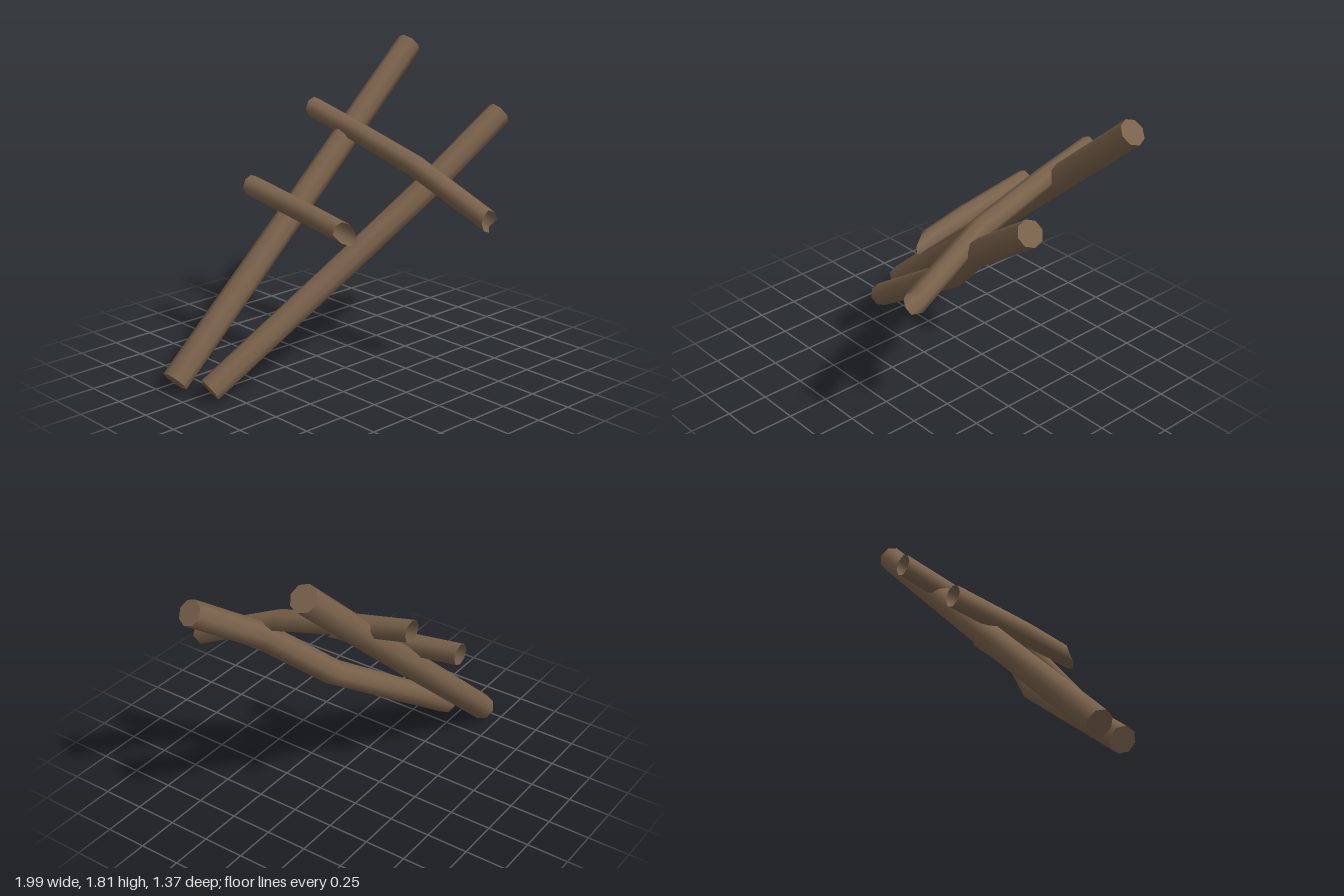
import * as THREE from 'three';

const SIDES = 8;

// Round stick through a list of points [x, y, z, radius].
// plane: fixed ring normal (optional); endShift: per-corner setback along z of the broken tip.
function stickGeometry(points, { plane = null, endShift = null, capped = true } = {}) {
  const centres = points.map(p => new THREE.Vector3(p[0], p[1], p[2]));
  const last = centres.length - 1;
  const up = new THREE.Vector3(0, 1, 0);
  const positions = [], index = [];
  const rings = centres.map((c, i) => {
    const t = plane ? plane.clone() : new THREE.Vector3();
    if (!plane) {
      if (i > 0) t.add(c.clone().sub(centres[i - 1]).normalize());
      if (i < last) t.add(centres[i + 1].clone().sub(c).normalize());
      t.normalize();
    }
    const u = up.clone().cross(t).normalize();
    const v = t.clone().cross(u);
    return Array.from({ length: SIDES }, (_, j) => {
      const a = (j / SIDES) * Math.PI * 2;
      const p = c.clone()
        .addScaledVector(u, Math.cos(a) * points[i][3])
        .addScaledVector(v, Math.sin(a) * points[i][3]);
      if (endShift && i === last) p.z += endShift[j];
      return p;
    });
  });

  // bark, sharing corners so that it shades smoothly
  rings.forEach(ring => ring.forEach(p => positions.push(p.x, p.y, p.z)));
  for (let i = 0; i < last; i++) {
    for (let j = 0; j < SIDES; j++) {
      const k = (j + 1) % SIDES;
      const a = i * SIDES + j, b = i * SIDES + k, c = a + SIDES, d = b + SIDES;
      index.push(a, b, c, b, d, c);
    }
  }

  // flat sawn ends with their own corners
  if (capped) {
    for (const i of [0, last]) {
      const base = positions.length / 3;
      rings[i].forEach(p => positions.push(p.x, p.y, p.z));
      for (let j = 1; j < SIDES - 1; j++) {
        if (i === 0) index.push(base, base + j + 1, base + j);
        else index.push(base, base + j, base + j + 1);
      }
    }
  }

  const geometry = new THREE.BufferGeometry();
  geometry.setAttribute('position', new THREE.Float32BufferAttribute(positions, 3));
  geometry.setIndex(index);
  geometry.computeVertexNormals();
  return geometry;
}

export function createModel() {
  const model = new THREE.Group();
  model.name = 'leaningBranches';
  const bark = new THREE.MeshStandardMaterial({ color: 0x7a624b, side: THREE.DoubleSide });
  bark.name = 'brown bark';

  const add = (name, points, options) => {
    const mesh = new THREE.Mesh(stickGeometry(points, options), bark);
    mesh.name = name;
    model.add(mesh);
  };

  // long leaning poles
  add('straightPole', [
    [-0.945, 0.065, -0.39, 0.079],
    [0.00, 0.91, -0.405, 0.078],
    [0.935, 1.755, -0.42, 0.077],
  ]);
  add('bentPole', [
    [-0.87, 0.06, -0.17, 0.073],
    [0.075, 0.71, 0.037, 0.077],
    [0.47, 1.085, 0.23, 0.077],
    [0.945, 1.43, 0.31, 0.075],
  ]);

  // hollow crossbars with broken front tips
  const plane = new THREE.Vector3(0, 0, 1);
  add('upperCrossbar', [
    [0.385, 1.392, -0.69, 0.064],
    [0.388, 1.31, -0.34, 0.064],
    [0.405, 1.175, 0.16, 0.066],
    [0.46, 0.945, 0.68, 0.064],
  ], { plane, capped: false, endShift: [0, 0, -0.01, 0, 0, 0, 0, -0.04] });
  add('lowerCrossbar', [
    [-0.118, 0.992, -0.69, 0.064],
    [-0.116, 0.92, -0.2, 0.064],
    [-0.11, 0.868, 0.13, 0.062],
  ], { plane, capped: false, endShift: [0, -0.02, -0.04, -0.05, -0.05, 0, 0.03, 0.04] });

  return model;
}
